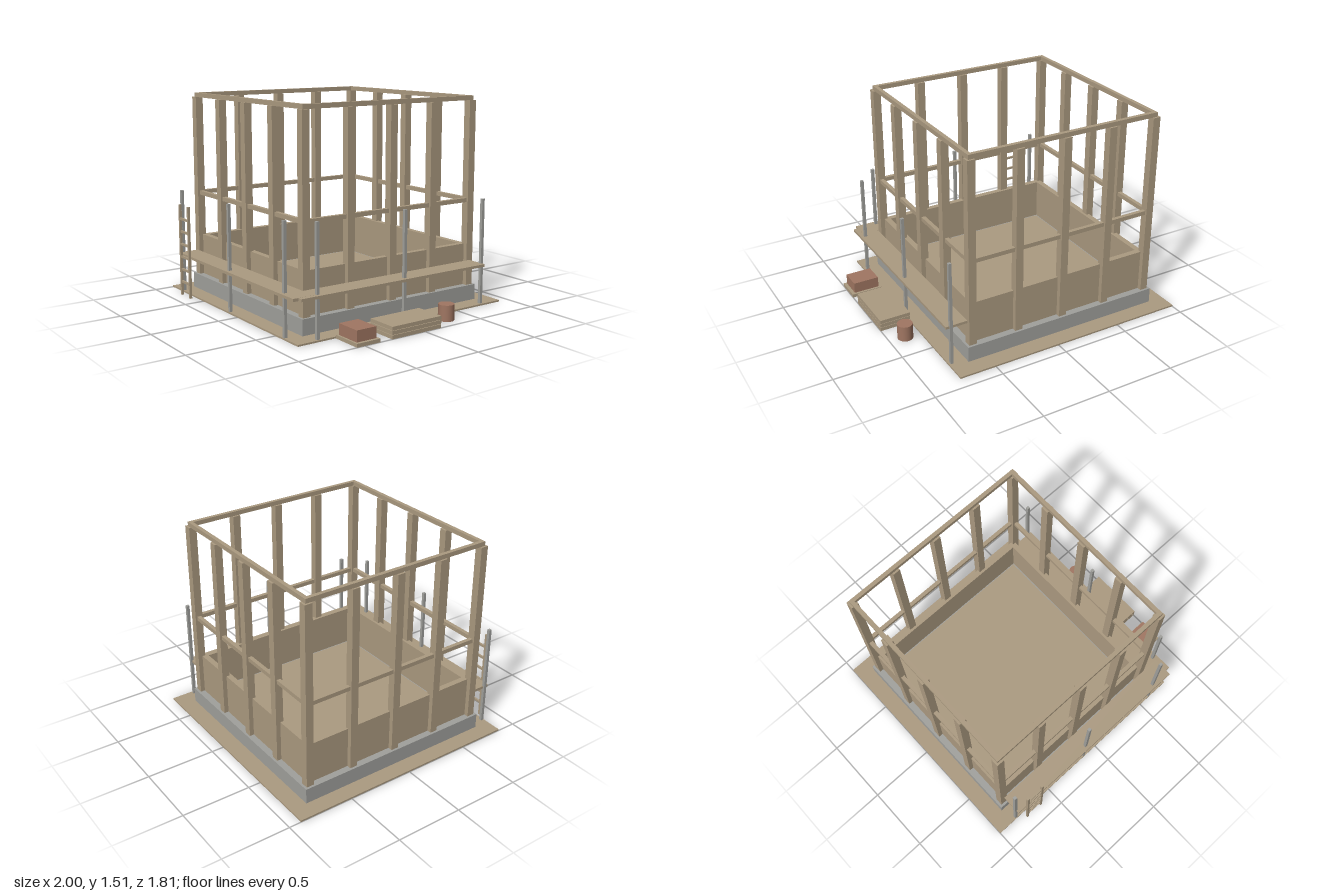
import * as THREE from 'three';

export function createModel() {
  const root = new THREE.Group();
  root.name = 'timberFrameBuildingSite';
  const mat = (name, color) => {
    const m = new THREE.MeshStandardMaterial({ color });
    m.name = name;
    return m;
  };
  const wood = mat('timber', 0xab9a80);
  const grey = mat('concreteAndSteel', 0xa0a09c);
  const clay = mat('brickRed', 0xa07662);

  const group = (name, x = 0, z = 0) => {
    const g = new THREE.Group();
    g.name = name;
    g.position.set(x, 0, z);
    root.add(g);
    return g;
  };
  // Box given by its minimum and maximum on each axis
  const box = (parent, name, m, x0, x1, y0, y1, z0, z1) => {
    const mesh = new THREE.Mesh(new THREE.BoxGeometry(x1 - x0, y1 - y0, z1 - z0), m);
    mesh.position.set((x0 + x1) / 2, (y0 + y1) / 2, (z0 + z1) / 2);
    mesh.name = name;
    parent.add(mesh);
    return mesh;
  };
  // Square frame with a hole, lying flat
  const ring = (parent, name, m, outer, inner, y0, y1) => {
    const square = (P, h) => {
      const p = new P();
      p.moveTo(-h, -h).lineTo(h, -h).lineTo(h, h).lineTo(-h, h).closePath();
      return p;
    };
    const shape = square(THREE.Shape, outer);
    shape.holes.push(square(THREE.Path, inner));
    const geo = new THREE.ExtrudeGeometry(shape, { depth: y1 - y0, bevelEnabled: false });
    geo.rotateX(-Math.PI / 2);
    const mesh = new THREE.Mesh(geo, m);
    mesh.position.y = y0;
    mesh.name = name;
    parent.add(mesh);
  };

  // Ground sheet
  box(root, 'groundSheet', wood, -1, 0.77, 0, 0.012, -0.91, 0.855);

  // House frame, square about its own centre
  const house = group('houseFrame', -0.118, -0.025);
  ring(house, 'foundation', grey, 0.76, 0.66, 0.004, 0.125);
  box(house, 'floor', wood, -0.665, 0.665, 0.09, 0.125, -0.665, 0.665);
  ring(house, 'lowerWall', wood, 0.71, 0.667, 0.125, 0.43);
  ring(house, 'middleRail', wood, 0.729, 0.7, 0.74, 0.77);
  ring(house, 'topPlate', wood, 0.729, 0.7, 1.475, 1.507);

  // Posts around the edge, five to a side
  const half = 0.7145, step = half / 2, w = 0.0285;
  for (let i = -2; i <= 2; i++) {
    for (let j = -2; j <= 2; j++) {
      if (Math.abs(i) !== 2 && Math.abs(j) !== 2) continue;
      const x = i * step, z = j * step;
      box(house, 'wallPost', wood, x - w, x + w, 0.125, 1.475, z - w, z + w);
    }
  }

  // Scaffold walkway and poles
  const scaffold = group('scaffold');
  box(scaffold, 'frontPlank', wood, -0.83, 0.75, 0.29, 0.31, 0.72, 0.875);
  box(scaffold, 'sidePlank', wood, 0.625, 0.785, 0.2905, 0.3095, -0.74, 0.835);
  const poles = [[-0.83, 0.84], [-0.118, 0.84], [0.597, 0.84], [0.748, 0.69], [0.748, -0.025], [0.748, -0.738]];
  for (const [x, z] of poles) {
    box(scaffold, 'scaffoldPole', grey, x - 0.011, x + 0.011, 0.004, 0.782, z - 0.011, z + 0.011);
  }

  // Ladder
  const ladder = group('ladder', -0.69, 0.895);
  for (const s of [-1, 1]) {
    box(ladder, 'ladderRail', wood, s * 0.067 - 0.009, s * 0.067 + 0.009, 0, 0.69, -0.009, 0.009);
  }
  for (let i = 0; i < 6; i++) {
    const y = 0.104 + i * 0.096;
    box(ladder, 'ladderRung', wood, -0.06, 0.06, y - 0.008, y + 0.008, -0.007, 0.007);
  }

  // Building supplies
  const supplies = group('supplies');
  for (let i = 0; i < 3; i++) {
    box(supplies, 'stackedBoard', wood, 0.77, 1, i * 0.029, i * 0.029 + 0.026, -0.14, 0.278);
  }
  box(supplies, 'brickPallet', wood, 0.77, 1, 0, 0.025, 0.374, 0.562);
  box(supplies, 'brickPile', clay, 0.785, 0.977, 0.025, 0.104, 0.392, 0.547);
  const barrel = new THREE.Mesh(new THREE.CylinderGeometry(0.056, 0.056, 0.115, 24), clay);
  barrel.position.set(0.88, 0.0575, -0.292);
  barrel.name = 'barrel';
  supplies.add(barrel);

  return root;
}
